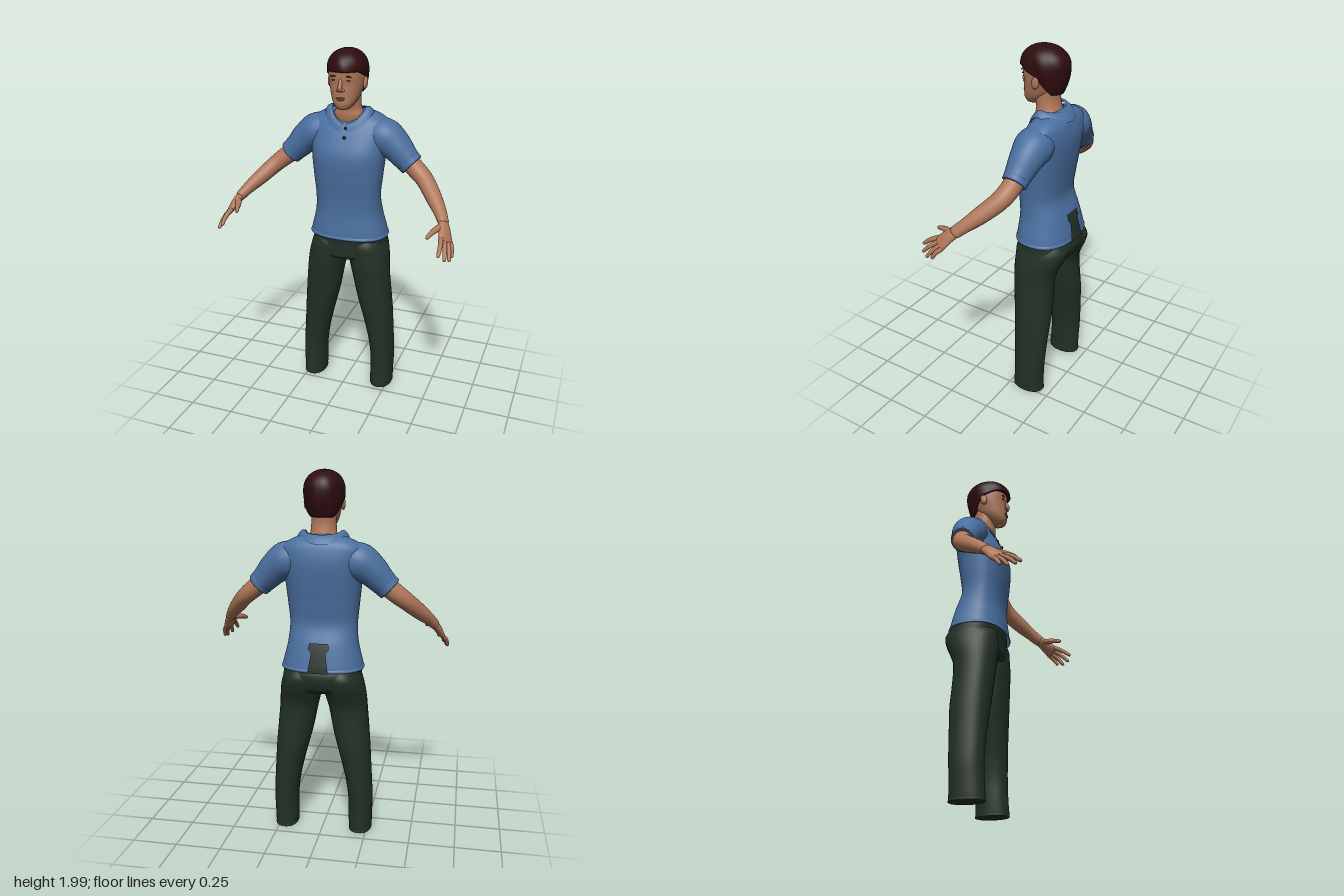
import * as THREE from 'three';

const material = (name, color) => {
  const m = new THREE.MeshStandardMaterial({ color, side: THREE.DoubleSide });
  m.name = name;
  return m;
};

// Smooth interpolation through a list of number rows, t in 0..1
function spline(rows, t) {
  const f = t * (rows.length - 1), i = Math.min(Math.floor(f), rows.length - 2), k = f - i;
  const row = j => rows[Math.max(0, Math.min(rows.length - 1, j))];
  return row(i).map((b, c) => {
    const a = row(i - 1)[c], d = row(i + 1)[c], e = row(i + 2)[c];
    return b + 0.5 * k * (d - a + k * (2 * a - 5 * b + 4 * d - e + k * (3 * (b - d) + e - a)));
  });
}

// Surface from point(u, v); u may close into a loop
function grid(point, nu, nv, closed = true) {
  const pos = [], index = [], w = closed ? nu : nu + 1;
  for (let j = 0; j <= nv; j++) for (let i = 0; i < w; i++) pos.push(...point(i / nu, j / nv));
  for (let j = 0; j < nv; j++) for (let i = 0; i < nu; i++) {
    const a = j * w + i, b = j * w + (i + 1) % w, c = a + w, d = b + w;
    index.push(a, c, b, b, c, d);
  }
  const g = new THREE.BufferGeometry();
  g.setAttribute('position', new THREE.Float32BufferAttribute(pos, 3));
  g.setIndex(index);
  g.computeVertexNormals();
  return g;
}

// Point on a body of horizontal sections: [y, centreX, halfWidth, frontZ, backZ]
function bodyPoint(rows, t, angle, n = 2.3, offset = 0) {
  const [y, cx, hw, zf, zb] = spline(rows, t);
  const power = c => Math.sign(c) * Math.abs(c) ** (2 / n);
  return [cx + (hw + offset) * power(Math.cos(angle)), y,
    (zf + zb) / 2 + ((zf - zb) / 2 + offset) * power(Math.sin(angle))];
}
const body = (rows, n, nu = 48, nv = 48) =>
  grid((u, v) => bodyPoint(rows, v, u * Math.PI * 2, n), nu, nv);

// Rounded limb along rows [x, y, z, radiusA, radiusB]; radiusB lies along ref
function limb(rows, ref = [0, 0, 1], end = 0.15, nu = 20, nv = 28) {
  const r = new THREE.Vector3(...ref);
  return grid((u, v) => {
    const [x, y, z, ra, rb] = spline(rows, v);
    const p = spline(rows, Math.max(0, v - 0.01)), q = spline(rows, Math.min(1, v + 0.01));
    const dir = new THREE.Vector3(q[0] - p[0], q[1] - p[1], q[2] - p[2]).normalize();
    const a = dir.clone().cross(r).normalize(), b = a.clone().cross(dir);
    const k = Math.min(1, Math.min(v, 1 - v) / end), s = Math.sqrt(1 - (1 - k) ** 2);
    const c = Math.cos(u * Math.PI * 2) * ra * s, d = Math.sin(u * Math.PI * 2) * rb * s;
    return [x + a.x * c + b.x * d, y + a.y * c + b.y * d, z + a.z * c + b.z * d];
  }, nu, nv);
}

export function createModel() {
  const model = new THREE.Group();
  model.name = 'standingMan';
  const shirt = material('shirtBlue', 0x4a6f9f), skin = material('skin', 0xb0785a);
  const hair = material('hairDark', 0x2e0c0e), pants = material('trouserGreen', 0x223126);
  const dark = material('buttonBlack', 0x0d0d10), lip = material('lips', 0x985f4c);

  const add = (parent, name, geometry, mat) => {
    const mesh = new THREE.Mesh(geometry, mat);
    mesh.name = name;
    parent.add(mesh);
    return mesh;
  };
  const ball = (parent, name, mat, at, size) => {
    const m = add(parent, name, new THREE.SphereGeometry(1, 20, 14), mat);
    m.position.set(...at);
    m.scale.set(...size);
    return m;
  };

  // Shirt
  const torso = [
    [0.96, 0, 0.222, 0.035, -0.278], [1.0, 0, 0.214, 0.032, -0.272], [1.1, 0, 0.19, 0.022, -0.248],
    [1.2, 0, 0.183, 0.025, -0.213], [1.3, 0, 0.192, 0.037, -0.222], [1.43, 0, 0.205, 0.042, -0.242],
    [1.53, 0, 0.215, 0.005, -0.25], [1.6, 0, 0.22, -0.035, -0.24], [1.635, 0, 0.185, -0.06, -0.225],
    [1.66, 0, 0.13, -0.09, -0.2], [1.675, 0, 0.07, -0.1, -0.17]];
  add(model, 'shirtBody', body(torso, 2.4, 64, 60), shirt);
  add(model, 'shirtHem', grid((u, v) =>
    bodyPoint(torso, v * 0.06, u * Math.PI * 2, 2.4, 0.004 * Math.sin(v * Math.PI)), 64, 6), shirt);
  add(model, 'placket', grid((u, v) =>
    bodyPoint(torso, 0.54 + v * 0.16, Math.PI / 2 - 0.03 + (u - 0.5) * 0.14, 2.4, 0.004), 6, 12, false), shirt);
  for (const [y, z] of [[1.585, -0.02], [1.54, 0.005]])
    ball(model, 'button', dark, [0.01, y, z], [0.009, 0.009, 0.007]);

  // Folded collar, open at the front
  add(model, 'collar', grid((u, v) => {
    const a = Math.PI / 2 + 0.1 + u * (Math.PI * 2 - 0.2), s = Math.sin(a), c = Math.cos(a);
    const front = Math.max(0, s), back = Math.max(0, -s);
    const y = 1.69 - 0.085 * front ** 1.6 - 0.018 * back;
    const drop = 0.026 + 0.014 * front + 0.016 * back, w = v * v;
    return [c * (0.094 + 0.042 * v), y - drop * w + 0.006 * Math.sin(v * Math.PI),
      -0.11 + s * (s > 0 ? 0.072 + 0.028 * v : 0.075 + 0.056 * v)];
  }, 56, 6, false), shirt);

  // Trouser seat, and the part showing above the hem at the back
  add(model, 'trouserSeat', body([
    [1.08, 0, 0.16, 0, -0.22], [0.98, 0, 0.205, 0.018, -0.268], [0.93, 0, 0.213, 0.016, -0.284],
    [0.88, 0, 0.222, 0.014, -0.274], [0.845, 0, 0.222, 0.01, -0.25], [0.825, 0, 0.15, -0.02, -0.2],
    [0.82, 0, 0.01, -0.1, -0.12]], 2.4), pants);
  add(model, 'trouserBackPanel', grid((u, v) => bodyPoint(torso, v * 0.215,
    -Math.PI / 2 + (u - 0.5) * (0.4 - 0.16 * v + (v > 0.85 ? 0.16 : 0)), 2.4, 0.008), 12, 14, false), pants);

  // Head and neck
  add(model, 'neck', body([
    [1.58, 0, 0.04, -0.06, -0.15], [1.61, 0, 0.075, -0.045, -0.175], [1.65, 0, 0.085, -0.037, -0.178],
    [1.68, 0, 0.07, -0.037, -0.168], [1.73, 0, 0.066, -0.03, -0.16], [1.79, 0, 0.066, -0.03, -0.165]], 2, 36, 24), skin);
  add(model, 'head', body([
    [1.688, 0, 0.005, 0.0, -0.02], [1.695, 0, 0.034, 0.022, -0.05], [1.72, 0, 0.056, 0.034, -0.09],
    [1.75, 0, 0.072, 0.034, -0.13], [1.785, 0, 0.083, 0.034, -0.165], [1.82, 0, 0.092, 0.032, -0.185],
    [1.87, 0, 0.096, 0.036, -0.19], [1.92, 0, 0.09, 0.03, -0.18], [1.96, 0, 0.05, -0.03, -0.13]], 2.2), skin);
  add(model, 'nose', limb([[0, 1.862, 0.026, 0.007, 0.007], [0, 1.835, 0.036, 0.009, 0.009],
    [0, 1.808, 0.045, 0.012, 0.011], [0, 1.79, 0.036, 0.014, 0.008]], [0, 0, 1], 0.2), skin);
  ball(model, 'upperLip', lip, [0, 1.756, 0.034], [0.025, 0.004, 0.008]);
  ball(model, 'lowerLip', lip, [0, 1.747, 0.034], [0.021, 0.005, 0.008]);
  for (const s of [-1, 1]) {
    ball(model, 'nostril', skin, [s * 0.013, 1.796, 0.036], [0.009, 0.008, 0.01]);
    ball(model, 'eye', dark, [s * 0.038, 1.846, 0.026], [0.015, 0.0035, 0.005]);
    ball(model, 'eyebrow', hair, [s * 0.039, 1.867, 0.028], [0.02, 0.0035, 0.006]).rotation.z = -s * 0.08;
    ball(model, 'ear', skin, [s * 0.098, 1.825, -0.078], [0.012, 0.034, 0.021]).rotation.x = -0.2;
  }

  // Hair cap with a hairline that drops towards the nape
  add(model, 'hair', grid((u, v) => {
    const a = u * Math.PI * 2, s = Math.sin(a);
    const edge = s > 0 ? 1.855 + 0.035 * Math.min(1, s * 1.6) : 1.855 - 0.095 * Math.min(1, -s * 1.5);
    const w = Math.min(1, v / 0.92), y = 1.998 - (1.998 - edge) * (1 - Math.cos(w * Math.PI / 2));
    const h = (y - 1.89) / 0.108;
    let r = h > 0 ? Math.sqrt(Math.max(0, 1 - h ** 2.3)) : 1 - 0.16 * h * h;
    r *= 1 + 0.018 * Math.sin(a * 7 + w * 5) * w;
    if (v > 0.93) r *= 0.86;
    return [Math.cos(a) * 0.108 * r, y, -0.078 + s * 0.133 * r];
  }, 64, 28), hair);

  // One side: leg, sleeve, arm and hand
  for (const s of [1, -1]) {
    const side = new THREE.Group();
    side.name = s > 0 ? 'leftLimbs' : 'rightLimbs';
    side.scale.x = s;
    model.add(side);

    add(side, 'trouserLeg', body([
      [0.004, 0.213, 0.002, -0.1, -0.11], [0.006, 0.213, 0.058, -0.024, -0.196], [0.025, 0.213, 0.064, -0.017, -0.2],
      [0.1, 0.213, 0.066, -0.022, -0.2], [0.2, 0.213, 0.068, -0.025, -0.205], [0.3, 0.204, 0.072, -0.022, -0.21],
      [0.4, 0.19, 0.08, -0.016, -0.215], [0.5, 0.174, 0.09, -0.008, -0.22], [0.6, 0.157, 0.099, 0, -0.217],
      [0.73, 0.138, 0.106, 0.01, -0.217], [0.8, 0.126, 0.112, 0.015, -0.238], [0.86, 0.115, 0.114, 0.015, -0.266],
      [0.92, 0.108, 0.104, 0.012, -0.28], [0.98, 0.1, 0.08, -0.02, -0.25]], 2.2, 36, 70), pants);

    add(side, 'sleeve', limb([[0.13, 1.545, -0.13, 0.09, 0.09], [0.195, 1.53, -0.128, 0.1, 0.1],
      [0.255, 1.49, -0.124, 0.087, 0.087], [0.305, 1.44, -0.118, 0.074, 0.074],
      [0.352, 1.394, -0.114, 0.065, 0.062]], [0, 0, 1], 0.03, 32, 40), shirt);
    add(side, 'sleeveCuff', limb([[0.33, 1.415, -0.116, 0.07, 0.067], [0.343, 1.403, -0.115, 0.068, 0.066],
      [0.356, 1.391, -0.114, 0.067, 0.065]], [0, 0, 1], 0.12, 32, 12), shirt);
    add(side, 'arm', limb([[0.3, 1.445, -0.118, 0.05, 0.05], [0.365, 1.385, -0.112, 0.051, 0.052],
      [0.435, 1.327, -0.085, 0.047, 0.05], [0.505, 1.257, -0.015, 0.042, 0.045],
      [0.555, 1.205, 0.045, 0.033, 0.036], [0.59, 1.16, 0.098, 0.026, 0.033]], [0, 0, 1], 0.06, 24, 40), skin);

    // Hand: palm, four fingers spread across it, thumb
    const across = new THREE.Vector3(-0.5, 0.4, 0.55).normalize(), ref = across.toArray();
    add(side, 'palm', limb([[0.575, 1.18, 0.075, 0.024, 0.03], [0.597, 1.143, 0.118, 0.022, 0.038],
      [0.613, 1.105, 0.155, 0.017, 0.045], [0.62, 1.09, 0.17, 0.013, 0.042]], ref, 0.2), skin);
    const tips = [[0.605, 1.055, 0.28], [0.635, 1.028, 0.262], [0.653, 1.015, 0.226], [0.657, 1.022, 0.188]];
    tips.forEach((tip, i) => {
      const base = new THREE.Vector3(0.612, 1.105, 0.152).addScaledVector(across, 0.033 - 0.022 * i);
      const end = new THREE.Vector3(...tip), mid = base.clone().lerp(end, 0.5);
      add(side, 'finger', limb([[...base.toArray(), 0.013, 0.013],
        [mid.x + 0.005, mid.y + 0.006, mid.z + 0.003, 0.012, 0.012],
        [...tip, 0.009, 0.009]], ref, 0.15, 12, 18), skin);
    });
    add(side, 'thumb', limb([[0.588, 1.16, 0.105, 0.018, 0.018], [0.562, 1.152, 0.155, 0.017, 0.016],
      [0.545, 1.142, 0.2, 0.012, 0.013], [0.532, 1.128, 0.236, 0.009, 0.01]], [0, 1, 0], 0.15, 12, 18), skin);
  }
  return model;
}
